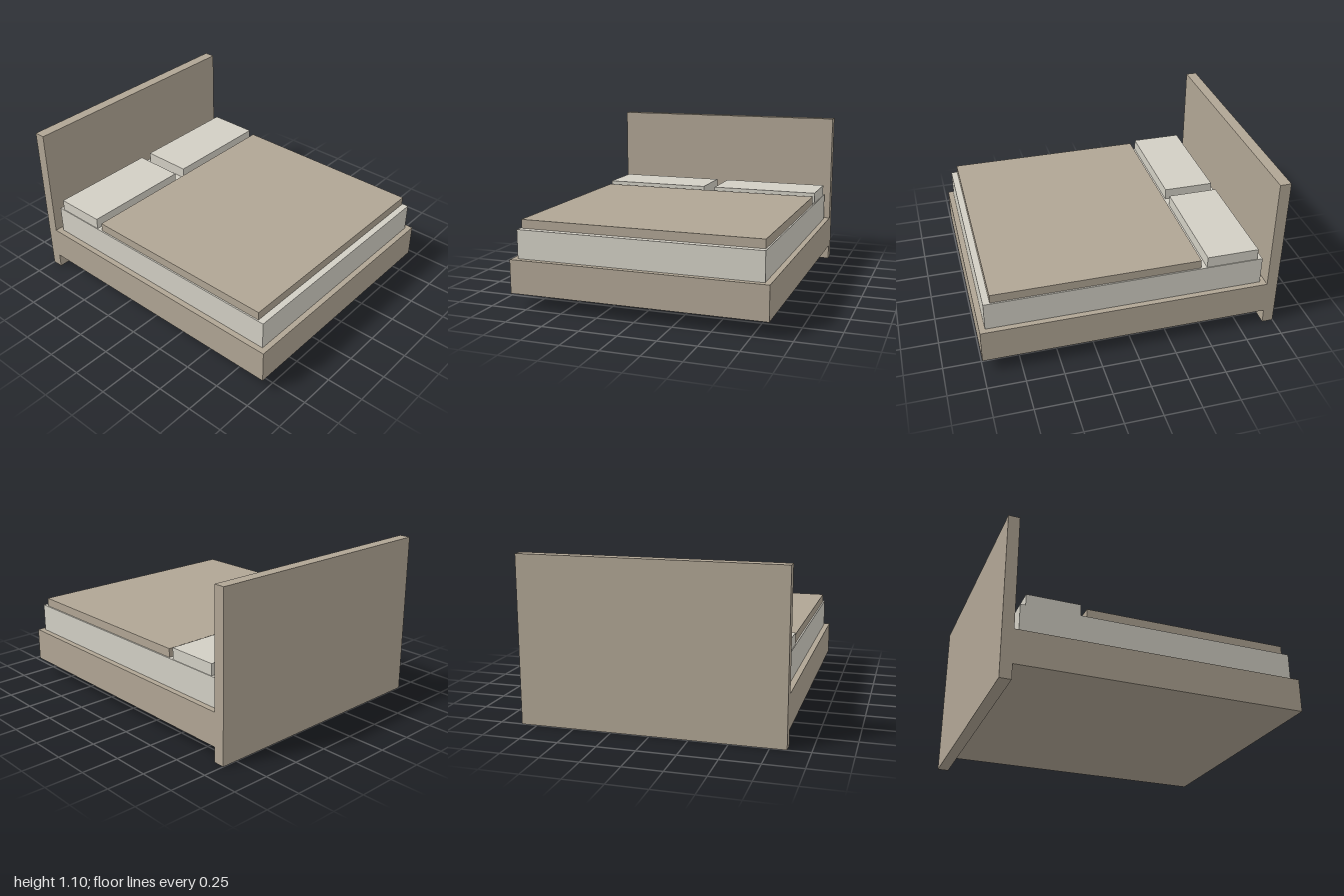
import * as THREE from 'three';

export function createModel() {
  const bed = new THREE.Group();
  bed.name = 'bed';
  const wood = new THREE.MeshStandardMaterial({ color: 0xb0a594 });
  const linen = new THREE.MeshStandardMaterial({ color: 0xd2cfc4 });

  // Box given by its extents along each axis
  function block(name, material, [x0, x1], [y0, y1], [z0, z1]) {
    const mesh = new THREE.Mesh(new THREE.BoxGeometry(x1 - x0, y1 - y0, z1 - z0), material);
    mesh.position.set((x0 + x1) / 2, (y0 + y1) / 2, (z0 + z1) / 2);
    mesh.name = name;
    bed.add(mesh);
  }

  // Frame
  block('headboard', wood, [-0.855, 0.855], [0, 1.1], [-1, -0.925]);
  block('bedBase', wood, [-0.855, 0.855], [0.1, 0.325], [-0.925, 1]);

  // Bedding
  block('mattress', linen, [-0.817, 0.817], [0.325, 0.517], [-0.888, 0.962]);
  block('blanket', wood, [-0.807, 0.807], [0.517, 0.575], [-0.462, 0.918]);
  block('leftPillow', linen, [0.043, 0.812], [0.517, 0.594], [-0.853, -0.502]);
  block('rightPillow', linen, [-0.812, -0.043], [0.517, 0.594], [-0.853, -0.502]);

  return bed;
}
